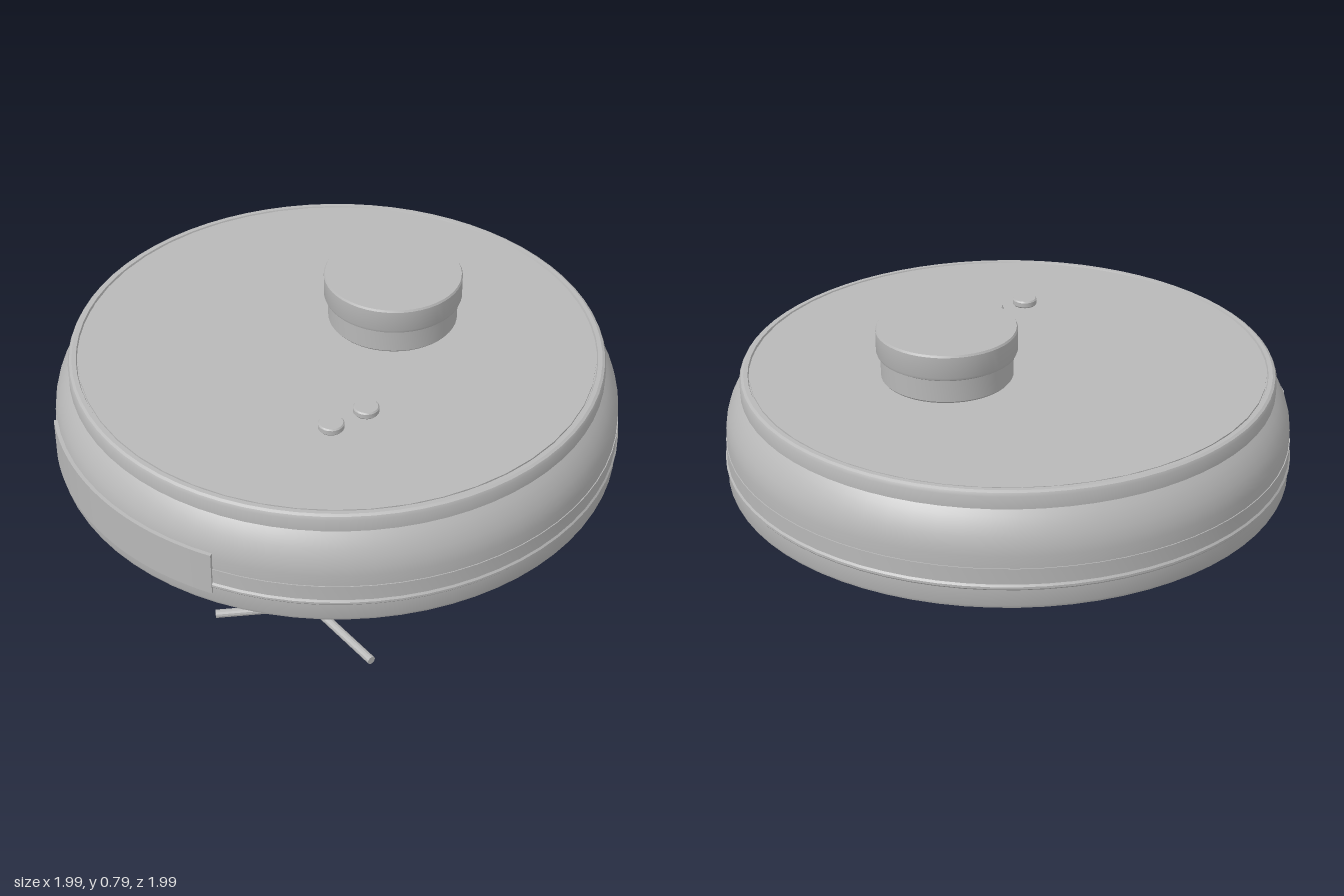
import * as THREE from 'three';
import { toCreasedNormals } from 'three/addons/utils/BufferGeometryUtils.js';

export function createModel() {
  const model = new THREE.Group();
  model.name = 'robotVacuum';
  const grey = new THREE.MeshStandardMaterial({ color: 0xb8b8b8 });
  grey.name = 'plainGrey';

  const add = (name, geometry, x = 0, y = 0, z = 0) => {
    const mesh = new THREE.Mesh(toCreasedNormals(geometry, 0.5), grey);
    mesh.name = name;
    mesh.position.set(x, y, z);
    model.add(mesh);
    return mesh;
  };
  // Profile of [radius, height] pairs from the lower axis to the upper axis
  const turned = (profile, sides) =>
    new THREE.LatheGeometry(profile.map(([r, y]) => new THREE.Vector2(r, y)), sides);

  // Underside, skirt and lower bumper band
  add('base', turned([
    [0, 0.155], [0.855, 0.155], [0.93, 0.182], [0.97, 0.196], [0.985, 0.203],
    [0.99, 0.215], [0.99, 0.272], [0, 0.272],
  ], 72));
  add('bumperBand', turned([
    [0, 0.272], [0.992, 0.272], [0.996, 0.277], [0.996, 0.285], [0.991, 0.292],
    [0.991, 0.348], [0, 0.348],
  ], 72));

  // Rounded upper shell
  add('upperShell', turned([
    [0, 0.348], [0.988, 0.348], [0.988, 0.39], [0.984, 0.42], [0.975, 0.452],
    [0.962, 0.48], [0.946, 0.508], [0.93, 0.528], [0, 0.528],
  ], 72));

  // Top rim and slightly recessed lid
  add('topRim', turned([
    [0, 0.528], [0.932, 0.528], [0.932, 0.572], [0.927, 0.583], [0.918, 0.588],
    [0.903, 0.588], [0.9, 0.58], [0, 0.58],
  ], 72));
  add('lid', turned([[0, 0.57], [0.897, 0.57], [0.897, 0.586], [0, 0.586]], 48));

  // Curved front panel
  const start = Math.PI / 2 - 0.512, end = Math.PI / 2 + 0.432;
  const arc = new THREE.Shape();
  arc.absarc(0, 0, 0.998, start, end, false);
  arc.absarc(0, 0, 0.93, end, start, true);
  const panel = new THREE.ExtrudeGeometry(arc, { depth: 0.16, bevelEnabled: false, curveSegments: 24 });
  panel.rotateX(Math.PI / 2);
  add('frontPanel', panel, 0, 0.41, 0);

  // Sensor turret: neck and wider cap
  add('turretNeck', turned([
    [0, 0.604], [0.222, 0.604], [0.227, 0.61], [0.228, 0.69], [0, 0.69],
  ], 48), 0, 0, -0.245);
  add('turretCap', turned([
    [0, 0.688], [0.228, 0.688], [0.238, 0.694], [0.242, 0.704], [0.242, 0.778],
    [0.238, 0.785], [0, 0.785],
  ], 48), 0, 0, -0.245);

  // Two buttons
  for (const z of [0.165, 0.31]) {
    add('button', turned([
      [0, 0.593], [0.04, 0.593], [0.044, 0.598], [0.044, 0.614], [0.04, 0.619], [0, 0.619],
    ], 24), 0.38, 0, z);
  }

  // Drive wheels, half sunk into the base
  for (const side of [-1, 1]) {
    const wheel = turned([
      [0, -0.063], [0.148, -0.063], [0.158, -0.053],
      [0.158, 0.053], [0.148, 0.063], [0, 0.063],
    ], 14);
    wheel.rotateZ(Math.PI / 2);
    // Turn a corner of the polygon to the ground
    wheel.rotateX(Math.PI / 2);
    add('driveWheel', wheel, side * 0.65, 0.158, 0);
  }

  // Three-armed side brush
  for (let i = 0; i < 3; i++) {
    const arm = new THREE.CylinderGeometry(0.014, 0.014, 0.317, 12);
    arm.rotateZ(Math.PI / 2);
    arm.translate(0.1585, 0, 0);
    arm.rotateY(i * Math.PI * 2 / 3);
    add('brushArm', arm, 0.62, 0.125, 0.568);
  }

  return model;
}
